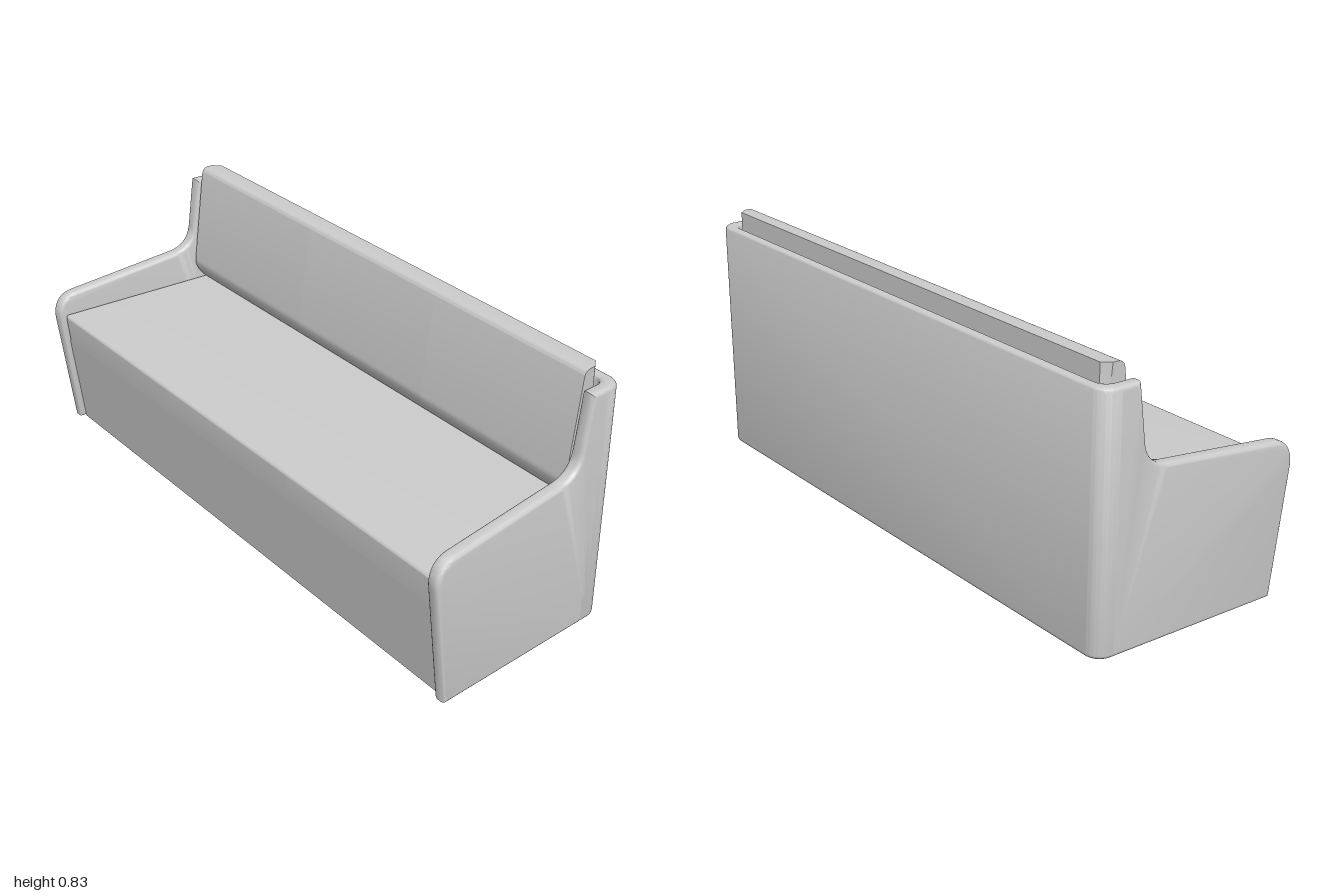
import * as THREE from 'three';
import { toCreasedNormals } from 'three/addons/utils/BufferGeometryUtils.js';

const BACK = -0.345, HALF = 0.963, WALL = 0.045, BEVEL = 0.014;
const material = new THREE.MeshStandardMaterial({ color: 0xcccccc });

// The whole sofa widens slightly towards the front.
function splay(geometry) {
  const p = geometry.attributes.position;
  for (let i = 0; i < p.count; i++) {
    p.setX(i, p.getX(i) * (1 + 0.055 * (p.getZ(i) - BACK)));
  }
  return geometry;
}

function part(name, geometry) {
  const mesh = new THREE.Mesh(toCreasedNormals(splay(geometry), 0.6), material);
  mesh.name = name;
  return mesh;
}

// Side profile drawn as (z, y), extruded across x from x0 to x1.
function across(shape, x0, x1, bevel = 0) {
  const geometry = new THREE.ExtrudeGeometry(shape, {
    depth: x1 - x0 - 2 * bevel, curveSegments: 12,
    bevelEnabled: bevel > 0, bevelSize: bevel, bevelThickness: bevel,
    bevelOffset: -bevel, bevelSegments: 4,
  });
  geometry.rotateY(-Math.PI / 2);
  return geometry.translate(x1 - bevel, 0, 0);
}

function armProfile() {
  const s = new THREE.Shape();
  s.moveTo(-0.3, 0);
  s.lineTo(0.295, 0);
  s.lineTo(0.344, 0.4);
  s.bezierCurveTo(0.35, 0.45, 0.325, 0.487, 0.28, 0.492);
  s.lineTo(-0.12, 0.533);
  s.bezierCurveTo(-0.165, 0.538, -0.192, 0.565, -0.198, 0.61);
  s.lineTo(-0.221, 0.785);
  s.lineTo(-0.3, 0.785);
  s.closePath();
  return s;
}

// Back wall with rounded corners, drawn in plan as (x, -z).
function backWall() {
  const b = -BACK, r = 0.05, inX = HALF - WALL, inB = b - 0.036, q = 0.03, end = 0.26;
  const s = new THREE.Shape();
  s.moveTo(HALF, end);
  s.lineTo(HALF, b - r);
  s.absarc(HALF - r, b - r, r, 0, Math.PI / 2, false);
  s.absarc(-HALF + r, b - r, r, Math.PI / 2, Math.PI, false);
  s.lineTo(-HALF, end);
  s.lineTo(-inX, end);
  s.absarc(-inX + q, inB - q, q, Math.PI, Math.PI / 2, true);
  s.absarc(inX - q, inB - q, q, Math.PI / 2, 0, true);
  s.lineTo(inX, end);
  s.closePath();
  const geometry = new THREE.ExtrudeGeometry(s, {
    depth: 0.785 - 2 * BEVEL, curveSegments: 10, bevelSize: BEVEL,
    bevelThickness: BEVEL, bevelOffset: -BEVEL, bevelSegments: 4,
  });
  geometry.rotateX(-Math.PI / 2);
  return geometry.translate(0, BEVEL, 0);
}

function baseProfile() {
  const s = new THREE.Shape();
  s.moveTo(-0.32, 0);
  s.lineTo(0.277, 0);
  s.lineTo(0.316, 0.32);
  s.lineTo(-0.32, 0.32);
  s.closePath();
  return s;
}

function seatProfile() {
  const s = new THREE.Shape();
  s.moveTo(-0.3, 0.32);
  s.lineTo(0.317, 0.32);
  s.lineTo(0.326, 0.408);
  s.quadraticCurveTo(0.327, 0.42, 0.315, 0.42);
  s.lineTo(-0.3, 0.42);
  s.closePath();
  return s;
}

function backrestProfile() {
  const s = new THREE.Shape();
  s.moveTo(-0.3, 0.415);
  s.lineTo(-0.24, 0.415);
  s.quadraticCurveTo(-0.19, 0.46, -0.195, 0.5);
  s.lineTo(-0.234, 0.81);
  s.quadraticCurveTo(-0.237, 0.834, -0.26, 0.834);
  s.lineTo(-0.275, 0.834);
  s.lineTo(-0.3, 0.834);
  s.closePath();
  return s;
}

// Trim the rear outer corners so the backrest fits the rounded shell.
function trimCorners(geometry) {
  const p = geometry.attributes.position;
  for (let i = 0; i < p.count; i++) {
    const x = p.getX(i), cut = Math.max(0, -0.275 - p.getZ(i));
    if (Math.abs(x) > 0.9) p.setX(i, x - Math.sign(x) * cut * 0.8);
  }
  return geometry;
}

export function createModel() {
  const sofa = new THREE.Group();
  sofa.name = 'sofa';

  // Wraparound shell
  const shell = new THREE.Group();
  shell.name = 'shell';
  shell.add(part('backWall', backWall()));
  shell.add(part('leftArm', across(armProfile(), HALF - WALL, HALF, BEVEL)));
  shell.add(part('rightArm', across(armProfile(), -HALF, -HALF + WALL, BEVEL)));
  sofa.add(shell);

  // Solid plinth under the seat
  sofa.add(part('base', across(baseProfile(), -0.92, 0.92)));

  // Three places, each with a seat and a backrest cushion
  const edges = [-0.911, -0.303, 0.303, 0.911];
  ['right', 'middle', 'left'].forEach((side, i) => {
    const [x0, x1] = [edges[i], edges[i + 1]];
    sofa.add(part(side + 'SeatCushion', across(seatProfile(), x0, x1)));
    sofa.add(part(side + 'BackCushion', trimCorners(across(backrestProfile(), x0, x1))));
  });
  return sofa;
}
